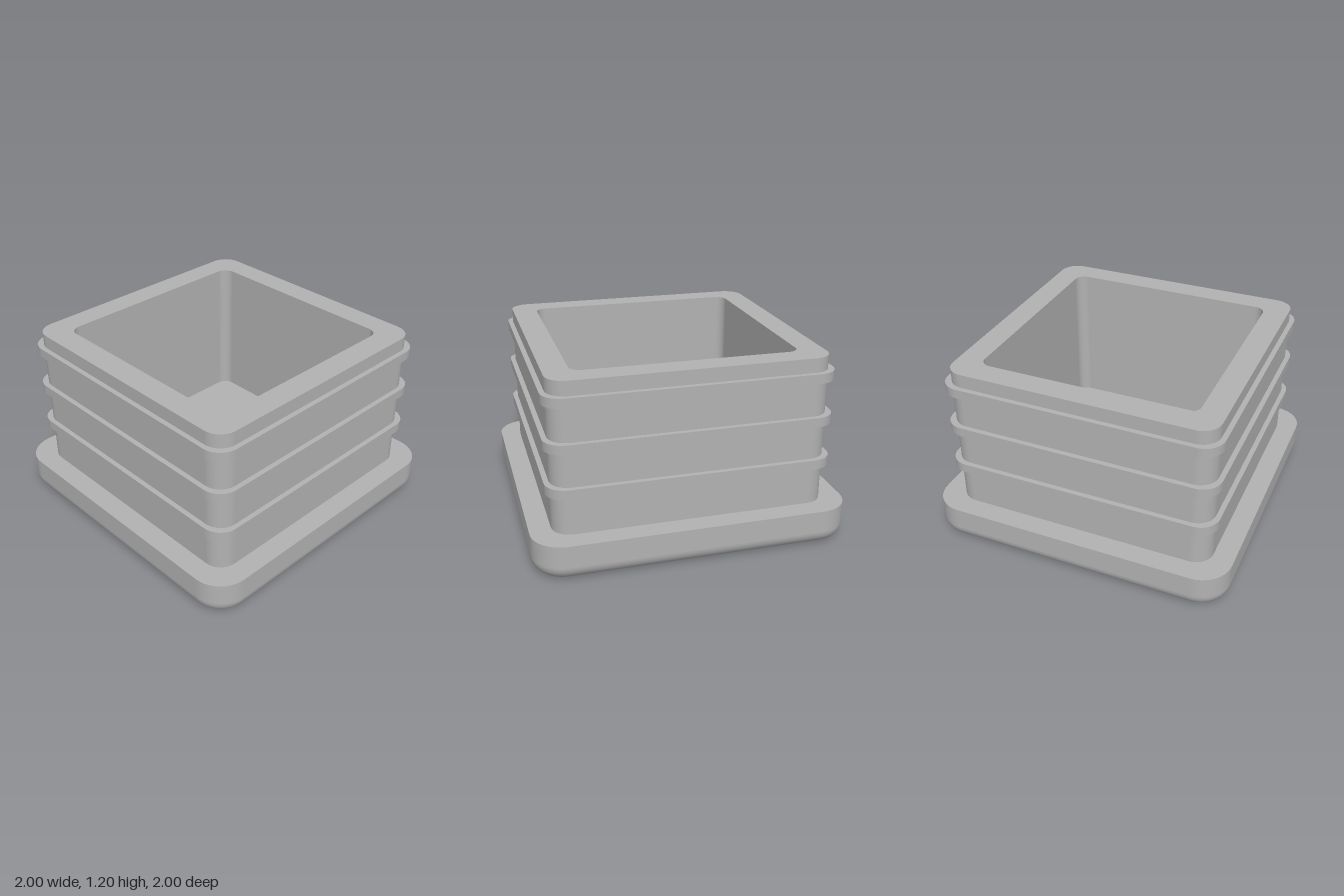
import * as THREE from 'three';

const CORNER_STEPS = 10;

// Sweeps a profile around a rounded square. Each profile point is
// [half width, corner radius, y, outward normal, upward normal].
function sweepSquare(profile) {
  const positions = [], normals = [], index = [];
  const count = 4 * (CORNER_STEPS + 1);
  for (const [half, radius, y, out, up] of profile) {
    for (let corner = 0; corner < 4; corner++) {
      const mid = (corner + 0.5) * Math.PI / 2;
      const cx = Math.sign(Math.cos(mid)) * (half - radius);
      const cz = Math.sign(Math.sin(mid)) * (half - radius);
      for (let s = 0; s <= CORNER_STEPS; s++) {
        const a = (corner + s / CORNER_STEPS) * Math.PI / 2;
        positions.push(cx + radius * Math.cos(a), y, cz + radius * Math.sin(a));
        normals.push(out * Math.cos(a), up, out * Math.sin(a));
      }
    }
  }
  for (let i = 0; i < profile.length - 1; i++) {
    const [p, q] = [profile[i], profile[i + 1]];
    if (p[0] === q[0] && p[2] === q[2]) continue; // sharp edge
    for (let j = 0; j < count; j++) {
      const k = (j + 1) % count;
      const a = i * count + j, b = i * count + k;
      index.push(a, a + count, b, b, a + count, b + count);
    }
  }
  const geometry = new THREE.BufferGeometry();
  geometry.setAttribute('position', new THREE.Float32BufferAttribute(positions, 3));
  geometry.setAttribute('normal', new THREE.Float32BufferAttribute(normals, 3));
  geometry.setIndex(index);
  return geometry;
}

export function createModel() {
  const group = new THREE.Group();
  const plastic = new THREE.MeshStandardMaterial({ color: 0xb2b2b2 });
  plastic.name = 'grey plastic';

  const add = (name, profile) => {
    const mesh = new THREE.Mesh(sweepSquare(profile), plastic);
    mesh.name = name;
    group.add(mesh);
  };

  const capTop = 0.24, top = 1.2;
  const body = 0.865, bodyRadius = 0.12;
  const hole = 0.705, holeRadius = 0.07;

  // Flange with a rounded lower edge
  const fillet = 0.1;
  const flange = [[0, 0, 0, 0, -1]];
  for (let i = 0; i <= 10; i++) {
    const a = i / 10 * Math.PI / 2;
    const inset = fillet * (1 - Math.sin(a));
    flange.push([1 - inset, 0.2 - inset, fillet * (1 - Math.cos(a)), Math.sin(a), -Math.cos(a)]);
  }
  flange.push(
    [1, 0.2, capTop, 1, 0],
    [1, 0.2, capTop, 0, 1],
    [body, bodyRadius, capTop, 0, 1]
  );
  add('flange', flange);

  // Hollow insert: outer wall, rim, inner wall and floor
  add('insert', [
    [body, bodyRadius, capTop, 1, 0],
    [body, bodyRadius, top, 1, 0],
    [body, bodyRadius, top, 0, 1],
    [hole, holeRadius, top, 0, 1],
    [hole, holeRadius, top, -1, 0],
    [hole, holeRadius, capTop, -1, 0],
    [hole, holeRadius, capTop, 0, 1],
    [0, 0, capTop, 0, 1]
  ]);

  // Gripping ribs around the insert
  const rib = 0.897, ribRadius = 0.13;
  [[0.485, 0.547], [0.767, 0.828], [1.047, 1.109]].forEach(([y0, y1], i) => {
    add('rib' + (i + 1), [
      [body, bodyRadius, y0, 0, -1],
      [rib, ribRadius, y0, 0, -1],
      [rib, ribRadius, y0, 1, 0],
      [rib, ribRadius, y1, 1, 0],
      [rib, ribRadius, y1, 0, 1],
      [body, bodyRadius, y1, 0, 1]
    ]);
  });

  return group;
}
